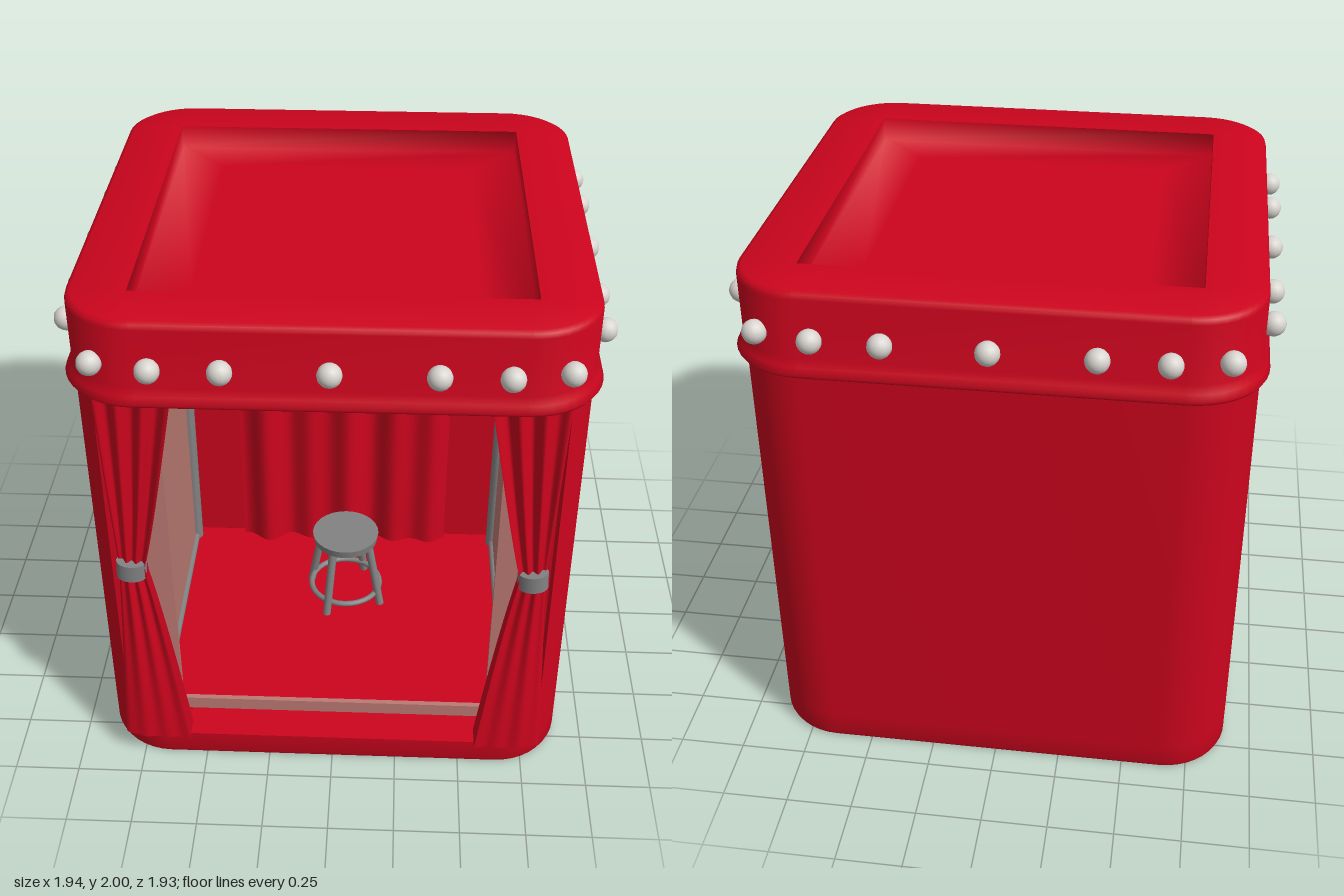
import * as THREE from 'three';
import { toCreasedNormals } from 'three/addons/utils/BufferGeometryUtils.js';

const mat = (name, color, side = THREE.FrontSide) => {
  const m = new THREE.MeshStandardMaterial({ color, side });
  m.name = name;
  return m;
};

// Outline of a rounded square, as [x, z] points
function roundedSquare(h, r, n = 10) {
  const pts = [];
  for (let q = 0; q < 4; q++) {
    const mid = (q + 0.5) * Math.PI / 2;
    const cx = Math.sign(Math.cos(mid)) * (h - r), cz = Math.sign(Math.sin(mid)) * (h - r);
    for (let i = 0; i <= n; i++) {
      const t = (q + i / n) * Math.PI / 2;
      pts.push([cx + r * Math.cos(t), cz + r * Math.sin(t)]);
    }
  }
  return pts;
}

// Skin through rounded squares given as [half size, corner radius, y]
function loft(profile, crease) {
  const pos = [], idx = [];
  profile.forEach(([h, r, y], k) => {
    const ring = roundedSquare(h, r), n = ring.length;
    ring.forEach(([x, z], i) => {
      pos.push(x, y, z);
      if (k === 0) return;
      const a = (k - 1) * n + i, b = (k - 1) * n + (i + 1) % n;
      idx.push(a, a + n, b, b, a + n, b + n);
    });
  });
  const g = new THREE.BufferGeometry();
  g.setAttribute('position', new THREE.Float32BufferAttribute(pos, 3));
  g.setIndex(idx);
  return toCreasedNormals(g, crease);
}

// Cloth sheet: a plane whose vertices follow f(u, v) -> [x, y, z]
function cloth(nu, nv, f) {
  const g = new THREE.PlaneGeometry(1, 1, nu, nv);
  const p = g.attributes.position;
  for (let i = 0; i < p.count; i++) p.setXYZ(i, ...f(p.getX(i) + 0.5, p.getY(i) + 0.5));
  g.computeVertexNormals();
  return g;
}

// Round bar between two points
function bar(a, b, r) {
  const path = new THREE.LineCurve3(new THREE.Vector3(...a), new THREE.Vector3(...b));
  return new THREE.TubeGeometry(path, 1, r, 10);
}

export function createModel() {
  const red = mat('red', 0xcc041d, THREE.DoubleSide);
  const pink = mat('dusty pink', 0xbc7a73);
  const grey = mat('grey', 0x828282);
  const pale = mat('bulb white', 0xd8d4cf);
  const model = new THREE.Group();
  model.name = 'curtainedBooth';
  const add = (name, geo, m, parent = model) => {
    const mesh = new THREE.Mesh(geo, m);
    mesh.name = name;
    parent.add(mesh);
    return mesh;
  };

  // Base slab and floor
  add('base', loft([[0.001, 0.0005, 0], [0.86, 0.22, 0], [0.888, 0.243, 0.004],
    [0.895, 0.25, 0.02], [0.895, 0.25, 0.11], [0.001, 0.0005, 0.11]], 0.9), red);
  add('floor', new THREE.BoxGeometry(1.4, 0.06, 1.09).translate(0, 0.131, 0.205), red);

  // Walls: rounded plan with the cavity open at the front (shape y is -z)
  const plan = new THREE.Shape();
  const c = 0.645, r = 0.25, open = 0.81, a0 = Math.acos((open - c) / r);
  plan.moveTo(open, -c - r * Math.sin(a0));
  plan.absarc(c, -c, r, -a0, 0, false);
  plan.absarc(c, c, r, 0, Math.PI / 2, false);
  plan.absarc(-c, c, r, Math.PI / 2, Math.PI, false);
  plan.absarc(-c, -c, r, Math.PI, Math.PI + a0, false);
  for (const [x, y] of [[-open, -0.75], [-0.7, -0.75], [-0.7, 0.33], [0.7, 0.33], [0.7, -0.75], [open, -0.75]])
    plan.lineTo(x, y);
  const walls = new THREE.ExtrudeGeometry(plan, { depth: 1.58, bevelEnabled: false, curveSegments: 10 });
  walls.rotateX(-Math.PI / 2).translate(0, 0.11, 0);
  add('walls', toCreasedNormals(walls, 0.6), red);

  // Roof band with a flared, softly rolled lower rim
  add('roofBand', loft([[0.001, 0.0005, 1.69], [0.89, 0.245, 1.69], [0.918, 0.265, 1.688], [0.925, 0.27, 1.7],
    [0.912, 0.26, 1.725], [0.9, 0.25, 1.755], [0.9, 0.25, 1.975], [0.895, 0.245, 1.992], [0.88, 0.23, 2],
    [0.687, 0.004, 2]], 1.2), red);
  // Sunken roof panel, softly shaded where wall meets floor
  add('roofRecess', loft([[0.687, 0.004, 2], [0.685, 0.004, 1.91], [0.5, 0.004, 1.91], [0.001, 0.0005, 1.91]], 2), red);

  // Bulbs around the band
  const bulbs = new THREE.Group();
  bulbs.name = 'bulbs';
  model.add(bulbs);
  const bulbGeo = new THREE.SphereGeometry(0.043, 16, 12);
  const bulb = (x, z) => add('bulb', bulbGeo, pale, bulbs).position.set(x, 1.835, z);
  for (const s of [-1, 1]) {
    for (const d of [-0.595, -0.358, 0, 0.358, 0.595]) {
      bulb(d, s * 0.922);
      bulb(s * 0.925, d);
    }
    bulb(0.793, s * 0.88);
    bulb(-0.793, s * 0.88);
  }

  // Frame of the front opening
  const rect = (S, x, y0, y1) => new S([[-x, y0], [x, y0], [x, y1], [-x, y1]].map(p => new THREE.Vector2(...p)));
  const frame = rect(THREE.Shape, 0.72, 0.11, 1.69);
  frame.holes.push(rect(THREE.Path, 0.605, 0.165, 1.615));
  add('openingFrame', new THREE.ExtrudeGeometry(frame, { depth: 0.02, bevelEnabled: false }).translate(0, 0, 0.737), pink);

  // Hanging backdrop with broad uneven folds
  add('backCurtain', cloth(110, 1, (u, v) => {
    const x = (u - 0.5) * 0.92;
    return [x, 0.16 + 1.53 * v, -0.285 + 0.02 * Math.sin(x * 34 + 0.6) + 0.014 * Math.sin(x * 19 + 2)];
  }), red);

  // Framed panels on the inner side walls
  for (const s of [-1, 1]) {
    const panel = new THREE.Group();
    panel.name = s > 0 ? 'leftPanel' : 'rightPanel';
    model.add(panel);
    add('panelBoard', new THREE.BoxGeometry(0.02, 1.5, 0.67).translate(s * 0.692, 0.935, 0.075), pink, panel);
    for (const [z, w] of [[-0.27, 0.028], [0.49, 0.016]])
      add('panelPost', bar([s * 0.68, 0.165, z], [s * 0.68, 1.69, z], w), grey, panel);
    add('panelRail', bar([s * 0.68, 0.178, -0.27], [s * 0.68, 0.178, 0.49], 0.016), grey, panel);
  }

  // Front curtains, gathered at a tie
  const tieY = 0.935;
  for (const s of [-1, 1]) {
    const side = new THREE.Group();
    side.name = s > 0 ? 'leftCurtain' : 'rightCurtain';
    model.add(side);
    const drape = (u, v) => {
      const y = 0.11 + 1.58 * v;
      const up = y > tieY;
      const k = up ? (y - tieY) / (1.69 - tieY) : (tieY - y) / (tieY - 0.11);
      const inner = up ? 0.685 - 0.145 * Math.pow(k, 0.9) : 0.685 - 0.125 * Math.pow(k, 0.85);
      const outer = 0.78 + (up ? 0.028 : 0.036) * k;
      const fold = Math.cos(u * Math.PI * 6) * (up ? 0.008 + 0.01 * Math.min(1, k * 2) : 0.008 * (1 - k * 0.6));
      const x = inner + (outer - inner) * u;
      // The lower part swings forward, its outer end curls back
      const z = 0.866 + fold + (up ? 0 : 0.052 * k) - 0.03 * Math.pow(u, 8);
      return [s * x, y, z];
    };
    add('frontDrape', cloth(60, 32, drape), red, side);
    add('drapeLining', cloth(1, 32, (u, v) => {
      const [x, y] = drape(u, v);
      return [x, y, 0.825];
    }), red, side);
    // Edges of the drape, closing it against its lining
    for (const end of [0, 1])
      add('drapeEdge', cloth(1, 32, (u, v) => {
        const [x, y, z] = drape(end, v);
        return [x, y, z + (0.825 - z) * u];
      }), red, side);
    // Tie band
    const tie = add('curtainTie', new THREE.CylinderGeometry(0.056, 0.056, 0.07, 20), grey, side);
    tie.scale.z = 0.75;
    tie.position.set(s * 0.732, tieY, 0.857);
    tie.rotation.z = s * 0.06;
  }

  // Stool
  const stool = new THREE.Group();
  stool.name = 'stool';
  stool.position.set(0.022, 0, 0.08);
  model.add(stool);
  add('stoolSeat', new THREE.CylinderGeometry(0.14, 0.134, 0.035, 28).translate(0, 0.477, 0), grey, stool);
  for (let i = 0; i < 4; i++) {
    const t = 0.46 + i * Math.PI / 2, cx = Math.cos(t), cz = Math.sin(t);
    add('stoolLeg', bar([0.17 * cx, 0.16, 0.17 * cz], [0.11 * cx, 0.47, 0.11 * cz], 0.017), grey, stool);
  }
  add('footRing', new THREE.TorusGeometry(0.148, 0.012, 8, 32).rotateX(Math.PI / 2).translate(0, 0.215, 0), grey, stool);
  return model;
}
